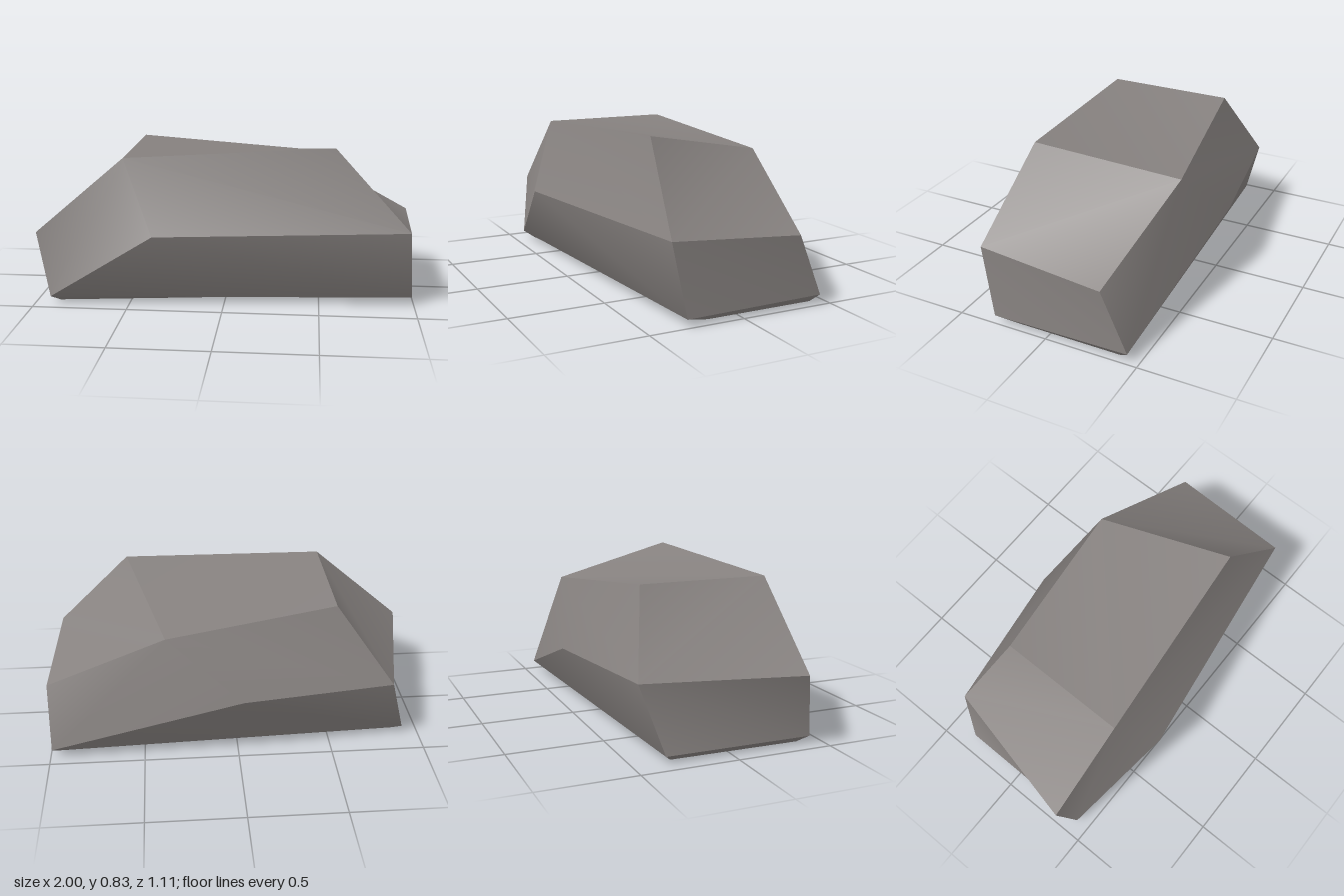
import * as THREE from 'three';

// Corner points of the boulder, [x, y, z]
const P = {
  // crown
  t1: [-0.52, 0.78, 0.38], t2: [0.57, 0.83, 0.28], t3: [0.37, 0.69, -0.435], t4: [-0.52, 0.78, -0.31],
  // shoulders and the two bulging points
  l1: [-1, 0.37, 0.37], l2: [-0.82, 0.37, -0.44], r1: [0.965, 0.41, 0.37], r2: [1, 0.37, -0.31],
  m: [-0.35, 0.41, 0.55], b: [-0.02, 0.37, -0.555],
  // lower corners
  f: [-0.92, 0.035, 0.43], g: [0.99, 0.04, 0.3], d: [0.99, 0.05, -0.445], e: [-0.915, 0.035, -0.34],
  // underside
  f0: [-0.88, 0, 0.38], g0: [0.965, 0.015, 0.18], d0: [0.965, 0.015, -0.4], e0: [-0.87, 0, -0.3],
};

// Facets: polygons within one facet share smooth normals, facets meet at sharp edges
const facets = {
  crown: ['t1 t2 t3 t4'],
  frontSlope: ['t1 t2 r1 m f l1'],
  backSlope: ['t3 t4 l2 b d r2'],
  leftShoulder: ['r1 r2 t3 t2'],
  rightShoulder: ['l2 l1 t1 t4'],
  leftEnd: ['r1 r2 d g'],
  rightEnd: ['l2 l1 f e'],
  frontUndercut: ['m r1 g f', 'f g g0 f0'],
  backUndercut: ['b l2 e d', 'd e e0 d0'],
  leftBevel: ['g d d0 g0'],
  rightBevel: ['e f f0 e0'],
  underside: ['f0 g0 d0 e0'],
};

const centre = new THREE.Vector3(0, 0.4, 0);

// Fan each polygon from its first corner, turning every triangle outward
function facetGeometry(polygons) {
  const names = [...new Set(polygons.join(' ').split(' '))];
  const points = names.map((n) => new THREE.Vector3(...P[n]));
  const index = [];
  for (const polygon of polygons) {
    const ids = polygon.split(' ').map((n) => names.indexOf(n));
    for (let i = 1; i < ids.length - 1; i++) {
      const [a, b, c] = [ids[0], ids[i], ids[i + 1]];
      const tri = new THREE.Triangle(points[a], points[b], points[c]);
      const normal = tri.getNormal(new THREE.Vector3());
      const outward = tri.getMidpoint(new THREE.Vector3()).sub(centre);
      index.push(...(normal.dot(outward) > 0 ? [a, b, c] : [a, c, b]));
    }
  }
  const geometry = new THREE.BufferGeometry().setFromPoints(points);
  geometry.setIndex(index);
  geometry.computeVertexNormals();
  return geometry;
}

export function createModel() {
  const stone = new THREE.MeshStandardMaterial({ color: 0x878280 });
  stone.name = 'stone grey';
  const boulder = new THREE.Group();
  boulder.name = 'boulder';
  for (const [name, polygons] of Object.entries(facets)) {
    const mesh = new THREE.Mesh(facetGeometry(polygons), stone);
    mesh.name = name;
    boulder.add(mesh);
  }
  return boulder;
}
